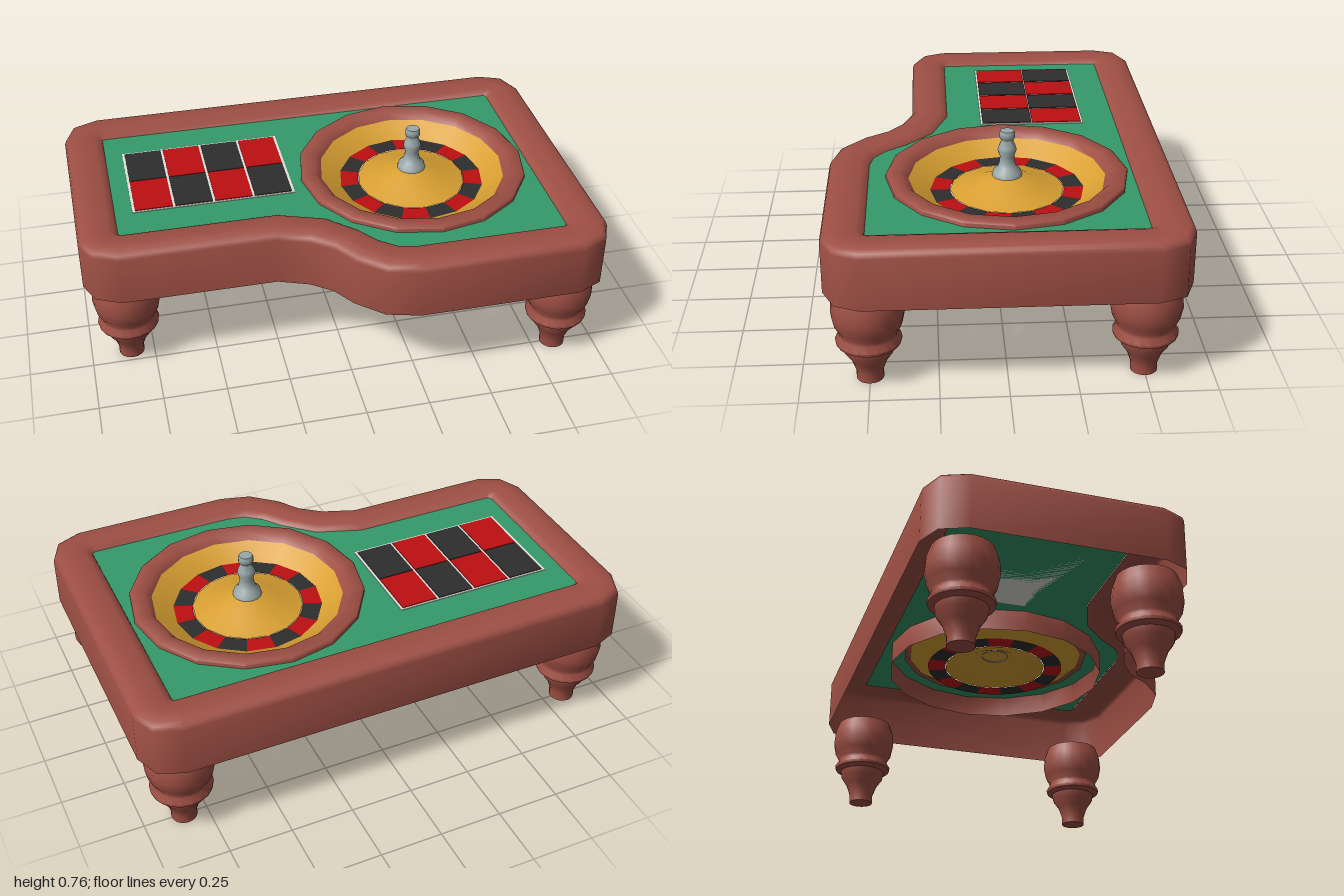
import * as THREE from 'three';
import { toCreasedNormals } from 'three/addons/utils/BufferGeometryUtils.js';

const mat = (name, color) => {
  const m = new THREE.MeshStandardMaterial({ color, side: THREE.DoubleSide });
  m.name = name;
  return m;
};

// Matching outer and inner outlines of the table frame, as [x, z]
const OUTER = [
  [-0.86, -0.66], [0.86, -0.66], [0.96, -0.62], [1, -0.52], [1, 0.52], [0.96, 0.61], [0.86, 0.655],
  [0.23, 0.655], [0.1, 0.62], [0, 0.53], [-0.06, 0.44], [-0.14, 0.38], [-0.26, 0.335],
  [-0.86, 0.335], [-0.96, 0.29], [-1, 0.2], [-1, -0.52], [-0.96, -0.62],
];
const INNER = [
  [-0.83, -0.505], [0.83, -0.505], [0.841, -0.501], [0.845, -0.49], [0.845, 0.485], [0.841, 0.496], [0.83, 0.5],
  [0.25, 0.5], [0.18, 0.485], [0.12, 0.44], [0.06, 0.36], [-0.05, 0.255], [-0.23, 0.19],
  [-0.83, 0.19], [-0.841, 0.186], [-0.845, 0.175], [-0.845, -0.49], [-0.841, -0.501],
];
const FELT_Y = 0.575;
const WHEEL = [0.37, -0.025];
const SIDES = 16;

// Shell swept around the outline: [blend from outer to inner, height]
function frameGeometry() {
  const profile = [[0, 0.365], [0, 0.565], [0.04, 0.582], [0.14, 0.593], [0.45, 0.595], [0.8, 0.591], [0.95, 0.582], [1, FELT_Y - 0.002]];
  const n = OUTER.length, pos = [], index = [];
  for (const [t, y] of profile) {
    for (let i = 0; i < n; i++) {
      pos.push(THREE.MathUtils.lerp(OUTER[i][0], INNER[i][0], t), y, THREE.MathUtils.lerp(OUTER[i][1], INNER[i][1], t));
    }
  }
  for (let r = 0; r < profile.length - 1; r++) {
    for (let i = 0; i < n; i++) {
      const a = r * n + i, b = r * n + (i + 1) % n;
      index.push(a, a + n, b, b, a + n, b + n);
    }
  }
  const g = new THREE.BufferGeometry();
  g.setAttribute('position', new THREE.Float32BufferAttribute(pos, 3));
  g.setIndex(index);
  return toCreasedNormals(g, 0.9);
}

const lathe = (points, sides) =>
  toCreasedNormals(new THREE.LatheGeometry(points.map(([r, y]) => new THREE.Vector2(r, y)), sides), 0.85);

export function createModel() {
  const model = new THREE.Group();
  model.name = 'rouletteTable';
  const wood = mat('wood', 0x9e4f44);
  const green = mat('felt', 0x35996a);
  const gold = mat('gold', 0xd9a032);
  const red = mat('red', 0xbd0f10);
  const black = mat('black', 0x2d2d2d);
  const silver = mat('silver', 0x9aa8a9);
  const white = mat('white', 0xe4e4de);

  const add = (name, geometry, material, x = 0, y = 0, z = 0, parent = model) => {
    const mesh = new THREE.Mesh(geometry, material);
    mesh.name = name;
    mesh.position.set(x, y, z);
    parent.add(mesh);
    return mesh;
  };

  add('frame', frameGeometry(), wood);

  // Felt with a round opening under the wheel
  const feltShape = new THREE.Shape(INNER.map(([x, z]) => new THREE.Vector2(x, -z)));
  const opening = new THREE.Path();
  opening.absarc(WHEEL[0], -WHEEL[1], 0.4, 0, Math.PI * 2, true);
  feltShape.holes.push(opening);
  add('felt', new THREE.ShapeGeometry(feltShape, SIDES / 2).rotateX(-Math.PI / 2), green, 0, FELT_Y, 0);

  // Turned legs
  const leg = lathe([
    [0, 0], [0.05, 0], [0.05, 0.035], [0.066, 0.08], [0.09, 0.115], [0.095, 0.142], [0.118, 0.153], [0.121, 0.165],
    [0.107, 0.187], [0.107, 0.2], [0.124, 0.23], [0.133, 0.275], [0.129, 0.325], [0.114, 0.37],
  ], 20);
  for (const [x, z] of [[-0.84, 0.185], [0.84, 0.5], [-0.84, -0.5], [0.84, -0.5]]) add('leg', leg, wood, x, 0, z);

  // Betting grid
  const grid = new THREE.Group();
  grid.name = 'bettingGrid';
  model.add(grid);
  add('gridLines', new THREE.BoxGeometry(0.645, 0.003, 0.425), white, -0.453, FELT_Y + 0.0015, -0.16, grid);
  const cell = new THREE.BoxGeometry(0.149, 0.004, 0.203);
  for (let c = 0; c < 4; c++) {
    for (let r = 0; r < 2; r++) {
      add('betSquare', cell, (c + r) % 2 ? red : black, -0.453 + (c - 1.5) * 0.1585, FELT_Y + 0.004, -0.16 + (r - 0.5) * 0.206, grid);
    }
  }

  // Wheel: wooden rim, gold bowl, numbered ring and centre cone
  const wheel = new THREE.Group();
  wheel.name = 'wheel';
  wheel.position.set(WHEEL[0], 0, WHEEL[1]);
  model.add(wheel);
  const part = (name, points, material, sides = SIDES) => add(name, lathe(points, sides), material, 0, 0, 0, wheel);
  part('rim', [[0.46, 0.485], [0.46, 0.59], [0.452, 0.597], [0.398, 0.597], [0.375, 0.572]], wood);
  part('bowl', [[0.375, 0.572], [0.293, 0.522]], gold);
  part('cone', [[0.217, 0.522], [0.12, 0.55], [0.05, 0.582], [0, 0.585]], gold);
  const step = Math.PI * 2 / SIDES;
  for (let i = 0; i < SIDES; i++) {
    const pocket = new THREE.RingGeometry(0.217, 0.293, 1, 1, i * step, step).rotateX(-Math.PI / 2);
    add('pocket', pocket, i % 2 ? red : black, 0, 0.522, 0, wheel);
  }
  part('spindle', [
    [0.058, 0.575], [0.053, 0.597], [0.036, 0.613], [0.029, 0.635], [0.027, 0.655], [0.036, 0.682], [0.033, 0.695],
    [0.023, 0.718], [0.023, 0.725], [0.029, 0.731], [0.03, 0.75], [0.026, 0.76], [0, 0.76],
  ], silver);
  return model;
}
